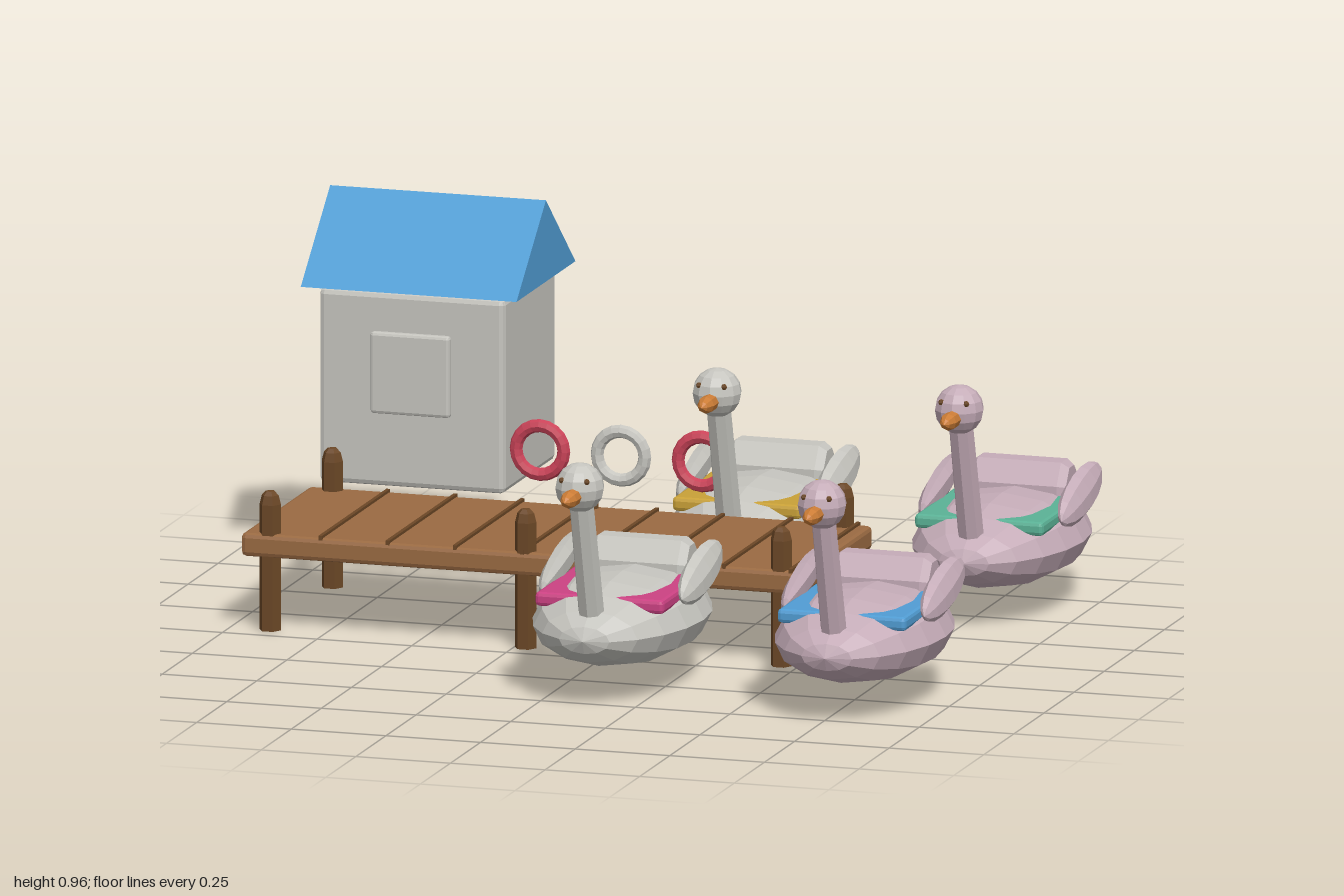
import * as THREE from 'three';
import { RoundedBoxGeometry } from 'three/addons/geometries/RoundedBoxGeometry.js';

const material = (name, color) => {
  const m = new THREE.MeshStandardMaterial({ color, flatShading: true });
  m.name = name;
  return m;
};

export function createModel() {
  const white = material('white', 0xc6c5bf);
  const pink = material('pink', 0xc5acb8);
  const plank = material('plankBrown', 0x9a6a42);
  const timber = material('timberBrown', 0x6b4726);
  const blue = material('blue', 0x519dd4);
  const red = material('red', 0xca4358);
  const orange = material('orange', 0xcc7d36);
  const yellow = material('yellow', 0xc9a138);
  const green = material('green', 0x5bb296);
  const magenta = material('magenta', 0xcc4283);

  const model = new THREE.Group();
  model.name = 'swanBoatDock';

  function add(parent, name, geometry, mat, x = 0, y = 0, z = 0) {
    const mesh = new THREE.Mesh(geometry, mat);
    mesh.name = name;
    mesh.position.set(x, y, z);
    parent.add(mesh);
    return mesh;
  }
  const group = (name) => {
    const g = new THREE.Group();
    g.name = name;
    model.add(g);
    return g;
  };

  // Dock: deck, seams between planks, domed posts
  const dock = group('dock');
  add(dock, 'deck', new RoundedBoxGeometry(1.49, 0.06, 0.57, 1, 0.012), plank, -0.22, 0.22, -0.075);
  const seam = new THREE.BoxGeometry(0.01, 0.012, 0.565);
  for (let i = 0; i < 8; i++) add(dock, 'plankSeam', seam, timber, -0.755 + i * 0.1775, 0.251, -0.075);
  const postProfile = [[0, 0], [0.028, 0], [0.028, 0.325], [0.022, 0.348], [0.012, 0.358], [0, 0.36]]
    .map(([r, y]) => new THREE.Vector2(r, y));
  const post = new THREE.LatheGeometry(postProfile, 6, Math.PI / 6);
  for (const x of [-0.895, -0.22, 0.455])
    for (const z of [-0.333, 0.182]) add(dock, 'post', post, timber, x, 0, z);

  // Ticket hut with window panel and gable roof
  const hut = group('hut');
  add(hut, 'walls', new RoundedBoxGeometry(0.49, 0.5, 0.43, 1, 0.014), white, -0.717, 0.495, -0.645);
  add(hut, 'window', new RoundedBoxGeometry(0.21, 0.21, 0.03, 1, 0.008), white, -0.717, 0.54, -0.428);
  const gable = new THREE.Shape([[-0.245, 0], [0.245, 0], [0, 0.21]].map(([x, y]) => new THREE.Vector2(x, y)));
  const roof = new THREE.ExtrudeGeometry(gable, { depth: 0.57, bevelEnabled: false });
  roof.translate(0, 0, -0.285).rotateY(Math.PI / 2);
  add(hut, 'roof', roof, blue, -0.715, 0.752, -0.645);

  // Life rings
  const ring = new THREE.TorusGeometry(0.063, 0.017, 8, 20);
  [red, white, red].forEach((m, i) => add(model, 'lifeRing', ring, m, -0.363 + i * 0.214, 0.378, -0.385));

  // Shared swan boat geometry
  const hull = new THREE.SphereGeometry(1, 12, 10);
  hull.rotateX(Math.PI / 2).scale(0.215, 0.113, 0.335);
  const trim = new RoundedBoxGeometry(0.34, 0.036, 0.425, 1, 0.01);
  const backProfile = new THREE.Shape([[-0.375, 0.25], [-0.375, 0.285], [-0.345, 0.33], [-0.305, 0.33], [-0.282, 0.305], [-0.282, 0.25]]
    .map(([x, y]) => new THREE.Vector2(x, y)));
  const backrest = new THREE.ExtrudeGeometry(backProfile, {
    depth: 0.22, bevelThickness: 0.02, bevelSize: 0.014, bevelSegments: 1,
  });
  backrest.translate(0, 0, -0.11).rotateY(Math.PI / 2);
  const wing = new THREE.SphereGeometry(1, 8, 8);
  wing.rotateX(Math.PI / 2).scale(0.03, 0.052, 0.16);
  const neck = new THREE.CylinderGeometry(0.032, 0.034, 0.33, 8);
  const head = new THREE.SphereGeometry(0.063, 12, 8);
  const beak = new THREE.LatheGeometry(
    [[0.022, 0], [0.022, 0.045], [0.013, 0.07], [0, 0.082]].map(([r, y]) => new THREE.Vector2(r, y)), 8);
  const eye = new THREE.SphereGeometry(0.008, 6, 4);

  function swan(x, z, body, accent) {
    const s = group('swanBoat');
    s.position.set(x, 0, z);
    add(s, 'hull', hull, body, 0, 0.178, 0.495);
    add(s, 'seatTrim', trim, accent, 0, 0.247, 0.48);
    add(s, 'backrest', backrest, body);
    add(s, 'neck', neck, body, 0, 0.39, 0.795).rotation.x = 0.27;
    add(s, 'head', head, body, 0, 0.582, 0.85);
    add(s, 'beak', beak, orange, 0, 0.568, 0.898).rotation.x = Math.PI / 2;
    for (const side of [-1, 1]) {
      const w = add(s, 'wing', wing, body, side * 0.185, 0.285, 0.43);
      w.rotation.set(0.24, 0, side * 0.3);
      add(s, 'eye', eye, timber, side * 0.033, 0.607, 0.896);
    }
  }
  swan(0.135, 0, white, magenta);
  swan(0.775, 0, pink, blue);
  swan(0.135, -1.14, white, yellow);
  swan(0.775, -1.14, pink, green);

  return model;
}
